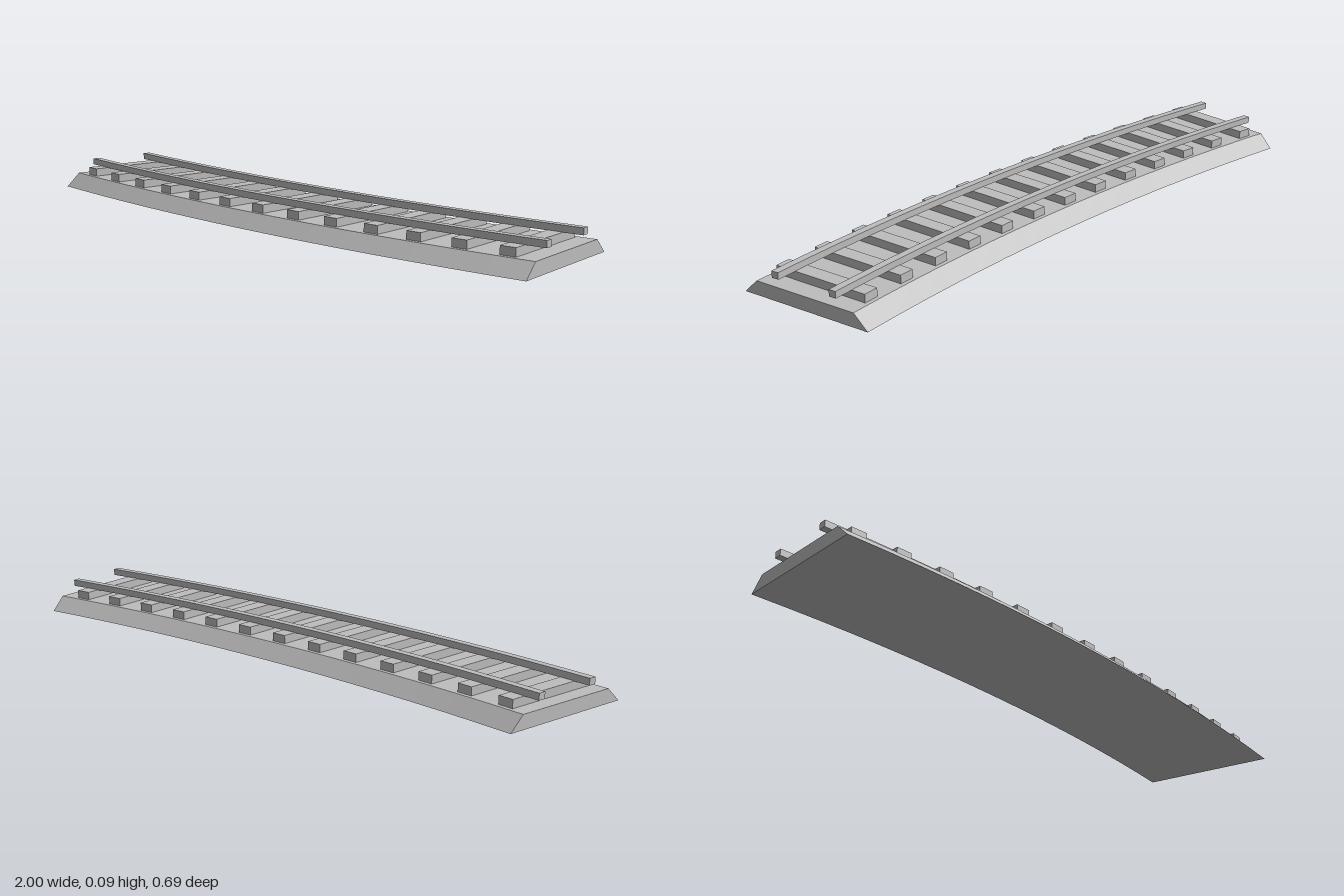
import * as THREE from 'three';

// Curve: the track starts at x = -1 heading +x and bends round a centre far behind it.
const CX = -1, CZ = -7.38, R = 7.504;
const DEG = Math.PI / 180, END = 15 * DEG;

// Sweeps a convex profile of [radius, y] points (counter-clockwise) along the arc.
function sweep(profile, segments) {
  const pos = [];
  const at = (i, s) => {
    const [r, y] = profile[i % profile.length];
    const a = (END * s) / segments;
    return [CX + r * Math.sin(a), y, CZ + r * Math.cos(a)];
  };
  const tri = (a, b, c) => pos.push(...a, ...b, ...c);
  for (let s = 0; s < segments; s++) {
    for (let i = 0; i < profile.length; i++) {
      tri(at(i, s), at(i, s + 1), at(i + 1, s + 1));
      tri(at(i, s), at(i + 1, s + 1), at(i + 1, s));
    }
  }
  // End caps
  for (let i = 1; i < profile.length - 1; i++) {
    tri(at(0, 0), at(i, 0), at(i + 1, 0));
    tri(at(0, segments), at(i + 1, segments), at(i, segments));
  }
  const g = new THREE.BufferGeometry();
  g.setAttribute('position', new THREE.Float32BufferAttribute(pos, 3));
  g.computeVertexNormals();
  return g;
}

export function createModel() {
  const group = new THREE.Group();
  group.name = 'curvedTrack';
  const grey = new THREE.MeshStandardMaterial({ color: 0xbdbdbd, flatShading: true });
  grey.name = 'plain grey';

  const add = (name, geometry) => {
    const mesh = new THREE.Mesh(geometry, grey);
    mesh.name = name;
    group.add(mesh);
    return mesh;
  };

  // Ballast bed with sloped shoulders
  add('ballastBed', sweep([
    [R - 0.223, 0], [R + 0.223, 0], [R + 0.176, 0.044], [R - 0.176, 0.044],
  ], 16));

  // Two rails resting on the sleepers
  for (const [name, offset] of [['innerRail', -0.104], ['outerRail', 0.104]]) {
    const r = R + offset, h = 0.012;
    add(name, sweep([[r - h, 0.069], [r + h, 0.069], [r + h, 0.09], [r - h, 0.09]], 16));
  }

  // Sleepers spaced evenly along the arc, each pointing at the centre of the curve
  const sleeper = new THREE.BoxGeometry(0.05, 0.027, 0.326);
  for (let i = 0; i < 13; i++) {
    const a = (0.58 + i * 1.145) * DEG;
    const mesh = add('sleeper' + (i + 1), sleeper);
    mesh.position.set(CX + R * Math.sin(a), 0.0565, CZ + R * Math.cos(a));
    mesh.rotation.y = a;
  }
  return group;
}
